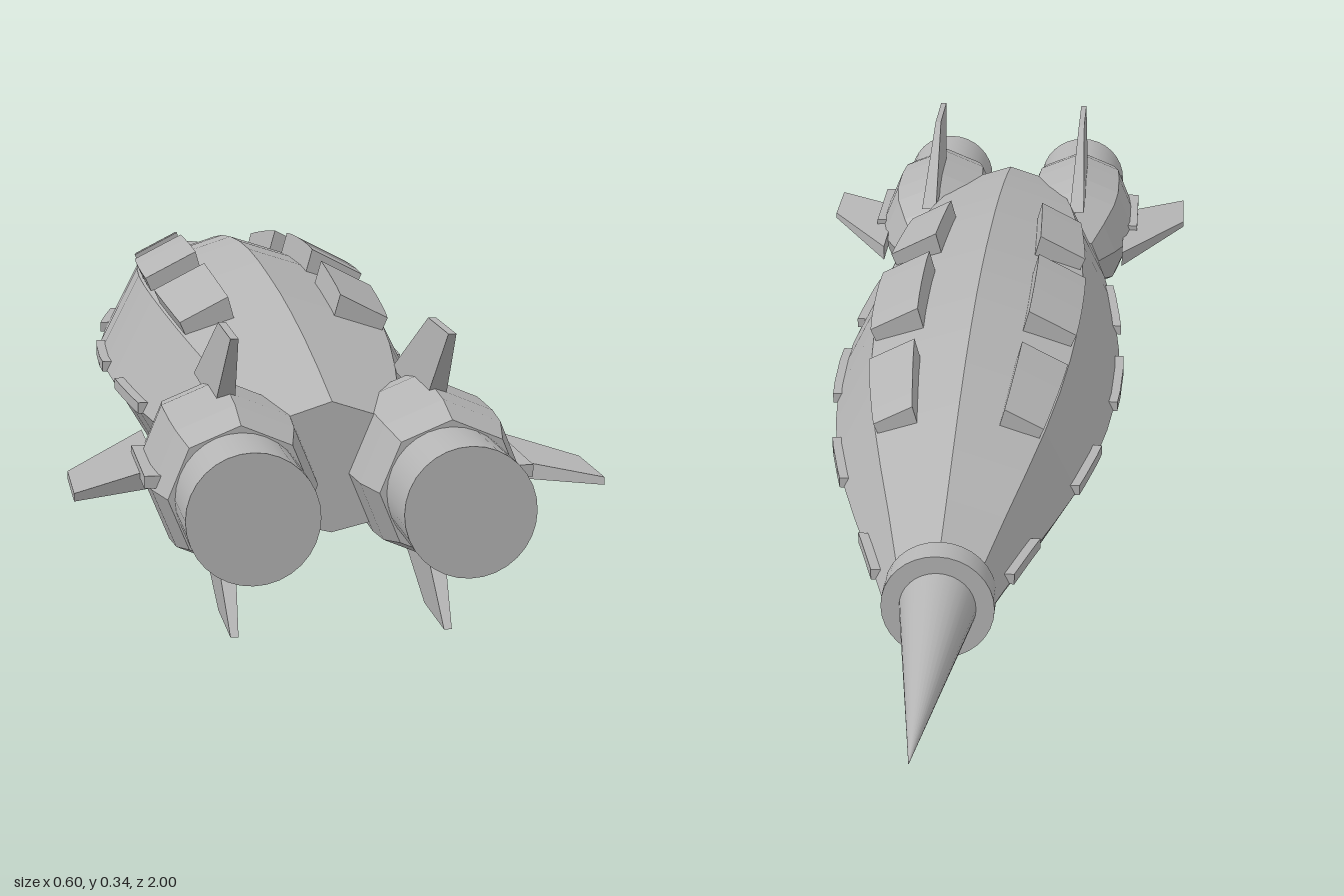
import * as THREE from 'three';

const CY = 0.167; // height of the long axis

// Hull size along its length, as a fraction of the widest section
const PROFILE = [
  [-0.63, 0.33], [-0.5, 0.5], [-0.4, 0.64], [-0.3, 0.77], [-0.2, 0.87], [-0.1, 0.94], [0, 0.985],
  [0.1, 1], [0.2, 0.985], [0.3, 0.95], [0.4, 0.905], [0.5, 0.84], [0.6, 0.755], [0.7, 0.65], [0.8, 0.525],
];
function hullScale(z) {
  let i = 0;
  while (i < PROFILE.length - 2 && z > PROFILE[i + 1][0]) i++;
  const [z0, s0] = PROFILE[i], [z1, s1] = PROFILE[i + 1];
  return s0 + (s1 - s0) * (z - z0) / (z1 - z0);
}

// Flat-faced closed solid through cross-sections, counter-clockwise seen from +z
function loft(zs, section) {
  const rings = zs.map((z, k) => section(z, k).map(([x, y]) => [x, y, z]));
  const n = rings[0].length, pos = [];
  const tri = (a, b, c) => pos.push(...a, ...b, ...c);
  for (let k = 0; k < rings.length - 1; k++) {
    for (let i = 0; i < n; i++) {
      const j = (i + 1) % n, a = rings[k], b = rings[k + 1];
      tri(a[i], a[j], b[j]);
      tri(a[i], b[j], b[i]);
    }
  }
  const first = rings[0], last = rings[rings.length - 1];
  for (let i = 1; i < n - 1; i++) {
    tri(first[0], first[i + 1], first[i]);
    tri(last[0], last[i], last[i + 1]);
  }
  const g = new THREE.BufferGeometry();
  g.setAttribute('position', new THREE.Float32BufferAttribute(pos, 3));
  g.computeVertexNormals();
  return g;
}

const range = (a, b, n) => Array.from({ length: n + 1 }, (_, i) => a + (b - a) * i / n);
const mirror = (pts, side) => side > 0 ? pts : pts.map(([x, y]) => [-x, y]).reverse();

export function createModel() {
  const model = new THREE.Group();
  model.name = 'rocketShip';
  const grey = new THREE.MeshStandardMaterial({ color: 0xb4b4b4 });
  grey.name = 'hullGrey';
  const add = (name, geometry, parent = model) => {
    const m = new THREE.Mesh(geometry, grey);
    m.name = name;
    parent.add(m);
    return m;
  };

  // Eight-sided spindle hull
  const HULL = [[0.205, 0], [0.148, 0.113], [0, 0.161], [-0.148, 0.113],
    [-0.205, 0], [-0.148, -0.095], [0, -0.131], [0.148, -0.095]];
  add('hull', loft(PROFILE.map(p => p[0]), z => {
    const s = hullScale(z);
    return HULL.map(([x, y]) => [x * s, y * s]);
  })).position.y = CY;

  // Nose collar and spike
  const collar = add('noseCollar', new THREE.CylinderGeometry(0.07, 0.07, 0.04, 32));
  collar.rotation.x = -Math.PI / 2;
  collar.position.set(0, CY, -0.62);
  const spike = add('noseSpike', new THREE.ConeGeometry(0.05, 0.38, 32));
  spike.rotation.x = -Math.PI / 2;
  spike.position.set(0, CY, -0.81);

  const PANEL = [[0.07, 0.125], [0.138, 0.1], [0.152, 0.132], [0.082, 0.168]];
  for (const side of [1, -1]) {
    // Raised armour panels along the shoulders
    for (const [a, b] of [[-0.32, -0.15], [-0.06, 0.155], [0.24, 0.435]]) {
      add('shoulderPanel', loft(range(a, b, 5), z => {
        const s = hullScale(z);
        return mirror(PANEL.map(([x, y]) => [x * s, y * s]), side);
      })).position.y = CY;
    }
    // Thin strips along the side edges
    for (const [a, b] of [[-0.57, -0.47], [-0.31, -0.18], [-0.03, 0.14], [0.26, 0.43]]) {
      add('sideStrip', loft(range(a, b, 4), z => {
        const x = 0.205 * hullScale(z);
        return mirror([[x - 0.02, -0.001], [x + 0.006, -0.001], [x + 0.006, 0.013], [x - 0.02, 0.013]], side);
      })).position.y = CY;
    }

    // Engine: eight-sided pod with a round nozzle
    const engine = new THREE.Group();
    engine.name = side > 0 ? 'leftEngine' : 'rightEngine';
    engine.position.set(side * 0.118, CY, 0);
    model.add(engine);
    const radii = [0.042, 0.068, 0.09, 0.098, 0.098, 0.094, 0.081];
    add('enginePod', loft([0.575, 0.62, 0.67, 0.72, 0.8, 0.85, 0.9], (z, k) =>
      range(0, Math.PI * 1.75, 7).map(t => [radii[k] * Math.cos(t), radii[k] * Math.sin(t)])), engine);
    const nozzle = add('nozzle', new THREE.CylinderGeometry(0.073, 0.073, 0.16, 32), engine);
    nozzle.rotation.x = Math.PI / 2;
    nozzle.position.z = 0.92;
    const strip = add('engineStrip', new THREE.BoxGeometry(0.02, 0.014, 0.16), engine);
    strip.position.set(side * 0.093, 0.011, 0.78);

    // Swept, tapering fins: top, outer side and bottom
    for (const [name, angle, tip] of [['topFin', 0, 0.173], ['outerFin', -side * Math.PI / 2, 0.182], ['bottomFin', Math.PI, 0.167]]) {
      const g = loft([0.08, tip], (r, k) => {
        const t = k ? 0.0045 : 0.0115;
        const [rear, front] = k ? [-0.875, -0.765] : [-0.79, -0.585];
        return [[-t, rear], [t, rear], [t, front], [-t, front]];
      });
      g.rotateX(-Math.PI / 2);
      g.rotateZ(angle);
      const fin = add(name, g, engine);
      if (name !== 'outerFin') fin.position.x = side * 0.004;
    }
  }
  return model;
}
